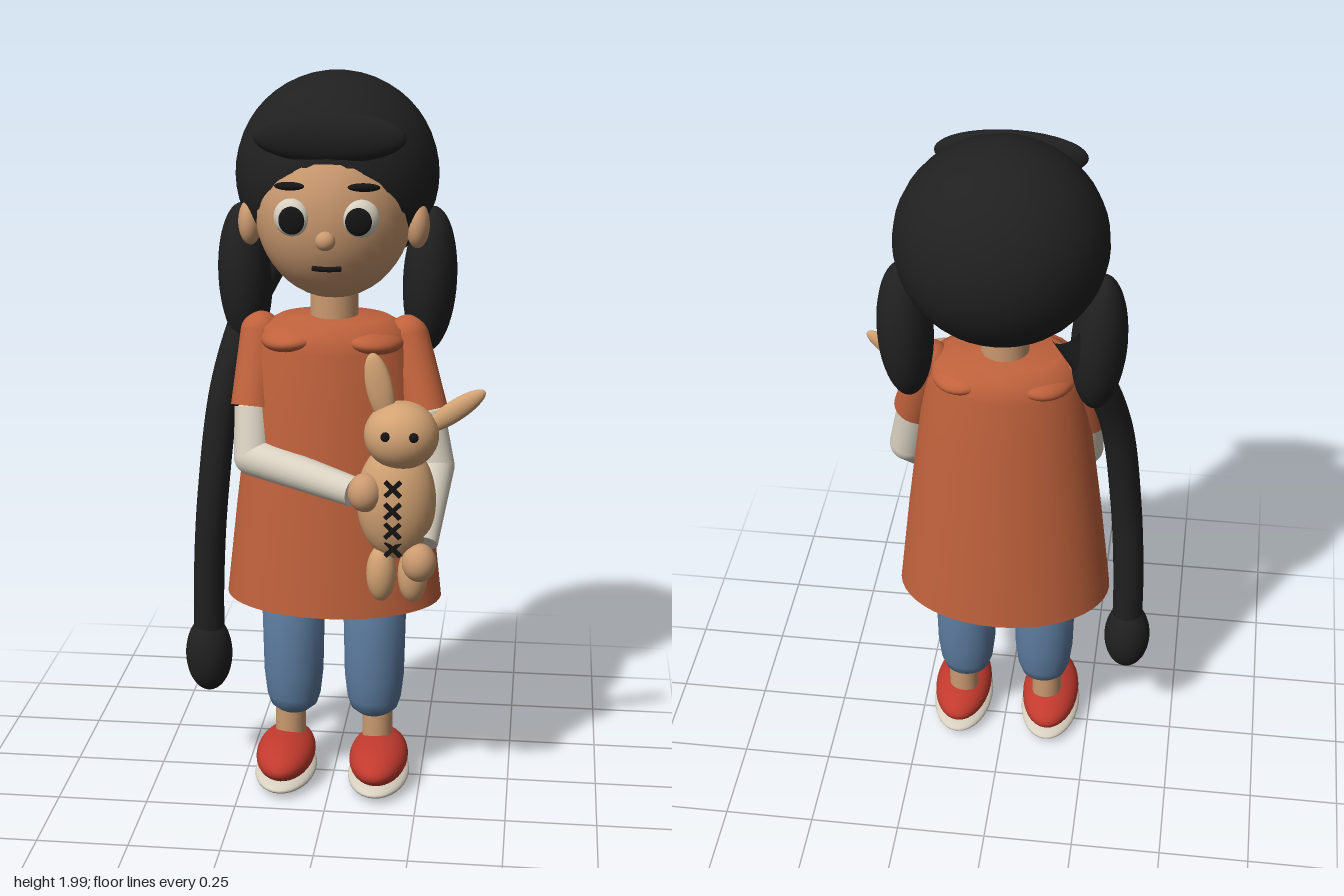
import * as THREE from 'three';

const V = (x, y, z) => new THREE.Vector3(x, y, z);

function paint(name, color) {
  const m = new THREE.MeshStandardMaterial({ color });
  m.name = name;
  return m;
}

export function createModel() {
  const mat = {
    skin: paint('skin', 0xcb9a70),
    hair: paint('hair black', 0x202020),
    dress: paint('dress orange', 0xc0623c),
    cream: paint('cream', 0xd8d0c0),
    denim: paint('denim blue', 0x5b7a9d),
    shoe: paint('shoe red', 0xc23a2e),
    plush: paint('plush tan', 0xd2a273),
    ink: paint('ink black', 0x141414),
  };
  const model = new THREE.Group();
  model.name = 'girlWithToy';

  function add(name, geo, material, parent = model) {
    const mesh = new THREE.Mesh(geo, material);
    mesh.name = name;
    parent.add(mesh);
    return mesh;
  }
  // Ellipsoid with centre, radii and optional rotation
  function blob(name, material, c, r, rot = [0, 0, 0], parent = model) {
    const mesh = add(name, new THREE.SphereGeometry(1, 32, 24), material, parent);
    mesh.position.set(...c);
    mesh.scale.set(...r);
    mesh.rotation.set(...rot);
    return mesh;
  }
  // Tapered limb between two points
  function limb(name, material, a, b, ra, rb, parent = model) {
    const mesh = add(name, new THREE.CylinderGeometry(rb, ra, a.distanceTo(b), 24), material, parent);
    mesh.position.copy(a).add(b).multiplyScalar(0.5);
    mesh.quaternion.setFromUnitVectors(V(0, 1, 0), b.clone().sub(a).normalize());
    return mesh;
  }
  const lathe = (pts) => new THREE.LatheGeometry(pts.map((p) => new THREE.Vector2(...p)), 48);

  // Head and hair
  blob('head', mat.skin, [0, 1.65, 0], [0.21, 0.24, 0.2]);
  blob('hairCap', mat.hair, [0, 1.73, -0.083], [0.273, 0.27, 0.252]);
  blob('fringe', mat.hair, [0.003, 1.855, 0.137], [0.198, 0.066, 0.036]);
  blob('nose', mat.skin, [0, 1.6, 0.205], [0.026, 0.025, 0.023]);
  const smile = new THREE.QuadraticBezierCurve3(V(-0.037, 1.521, 0.168), V(0, 1.519, 0.181), V(0.037, 1.521, 0.168));
  add('mouth', new THREE.TubeGeometry(smile, 12, 0.007, 8), mat.ink);

  // Paired features of the head
  for (const s of [-1, 1]) {
    blob('ear', mat.skin, [s * 0.223, 1.61, 0.01], [0.032, 0.062, 0.042]);
    blob('eyeball', mat.cream, [s * 0.09, 1.655, 0.178], [0.048, 0.049, 0.03], [0, s * 0.25, 0]);
    blob('pupil', mat.ink, [s * 0.086, 1.653, 0.212], [0.034, 0.036, 0.01], [0, s * 0.1, 0]);
    blob('eyebrow', mat.ink, [s * 0.096, 1.735, 0.176], [0.043, 0.011, 0.013], [0, s * 0.35, -s * 0.05]);
    blob('bunch', mat.hair, [s * 0.252, 1.445, -0.078], [0.073, 0.2, 0.09], [0, 0, -s * 0.04]);
  }

  // Long braid with tuft
  const braid = new THREE.CatmullRomCurve3([
    V(-0.17, 1.5, -0.12), V(-0.24, 1.36, -0.09), V(-0.3, 1.15, -0.02),
    V(-0.335, 0.85, 0.02), V(-0.352, 0.6, 0.015), V(-0.356, 0.4, 0.01),
  ]);
  add('braid', new THREE.TubeGeometry(braid, 40, 0.043, 16), mat.hair);
  blob('braidTuft', mat.hair, [-0.357, 0.363, 0.01], [0.066, 0.112, 0.066]);

  // Neck and dress
  limb('neck', mat.skin, V(0, 1.3, -0.01), V(0, 1.5, -0.01), 0.065, 0.065);
  const dress = add('dress', lathe([[0, 0.56], [0.3, 0.56], [0.3, 0.56], [0.27, 0.83], [0.236, 1.1],
    [0.212, 1.28], [0.195, 1.33], [0.15, 1.355], [0, 1.365]]), mat.dress);
  dress.scale.z = 0.71;
  dress.position.z = -0.01;
  for (const s of [-1, 1]) {
    blob('collar', mat.dress, [s * 0.1, 1.305, -0.005], [0.1, 0.042, 0.145], [0, 0, -s * 0.12]);
  }

  // Legs and shoes
  for (const s of [-1, 1]) {
    const leg = new THREE.Group();
    leg.name = s < 0 ? 'rightLeg' : 'leftLeg';
    model.add(leg);
    const trouser = add('trouser', lathe([[0, 0.2], [0.045, 0.202], [0.066, 0.22], [0.076, 0.25],
      [0.084, 0.32], [0.09, 0.6], [0, 0.6]]), mat.denim, leg);
    trouser.position.set(s * 0.115, 0, -0.003);
    limb('ankle', mat.skin, V(s * 0.125, 0.08, -0.003), V(s * 0.125, 0.23, -0.003), 0.043, 0.043, leg);
    blob('shoe', mat.shoe, [s * 0.133, 0.083, 0.042], [0.083, 0.058, 0.158], [0, 0, 0], leg);
    blob('sole', mat.cream, [s * 0.133, 0.033, 0.042], [0.087, 0.027, 0.163], [0, 0, 0], leg);
  }

  // Arms: shoulder, sleeve end, elbow, wrist, hand
  const arms = [
    ['rightArm', V(-0.2, 1.305, -0.01), V(-0.214, 1.11, 0.05), V(-0.21, 0.98, 0.09), V(0.08, 0.945, 0.255), V(0.112, 0.95, 0.272)],
    ['leftArm', V(0.2, 1.305, -0.01), V(0.252, 1.11, 0.045), V(0.282, 0.965, 0.07), V(0.262, 0.8, 0.23), V(0.255, 0.757, 0.262)],
  ];
  for (const [name, shoulder, cuff, elbow, wrist, palm] of arms) {
    const arm = new THREE.Group();
    arm.name = name;
    model.add(arm);
    blob('shoulder', mat.dress, shoulder.toArray(), [0.056, 0.056, 0.056], [0, 0, 0], arm);
    limb('sleeve', mat.dress, shoulder, cuff, 0.056, 0.062, arm);
    limb('upperArm', mat.cream, cuff, elbow, 0.052, 0.053, arm);
    blob('elbow', mat.cream, elbow.toArray(), [0.053, 0.053, 0.053], [0, 0, 0], arm);
    limb('forearm', mat.cream, elbow, wrist, 0.053, 0.04, arm);
    blob('hand', mat.skin, palm.toArray(), [0.046, 0.052, 0.046], [0, 0, 0], arm);
  }

  // Plush rabbit
  const toy = new THREE.Group();
  toy.name = 'plushRabbit';
  model.add(toy);
  const none = [0, 0, 0];
  const body = { x: 0.19, y: 0.915, z: 0.222, ry: 0.16, rz: 0.085 };
  blob('toyBody', mat.plush, [body.x, body.y, body.z], [0.105, body.ry, body.rz], none, toy);
  blob('toyHead', mat.plush, [0.203, 1.1, 0.238], [0.098, 0.09, 0.09], none, toy);
  blob('toyEarUp', mat.plush, [0.145, 1.225, 0.238], [0.035, 0.095, 0.02], [0, 0, 0.22], toy);
  blob('toyEarOut', mat.plush, [0.34, 1.165, 0.222], [0.028, 0.095, 0.02], [0, 0, -0.95], toy);
  for (const s of [-1, 1]) {
    blob('toyLeg', mat.plush, [0.195 + s * 0.042, 0.715, 0.24], [0.04, 0.078, 0.04], none, toy);
    blob('toyEye', mat.ink, [0.204 + s * 0.036, 1.117, 0.317], [0.013, 0.013, 0.011], none, toy);
  }
  // Cross stitches following the belly
  for (const y of [0.972, 0.913, 0.857, 0.8]) {
    const z = body.z + body.rz * Math.sqrt(1 - ((y - body.y) / body.ry) ** 2);
    for (const s of [-1, 1]) {
      const stitch = add('stitch', new THREE.BoxGeometry(0.056, 0.011, 0.009), mat.ink, toy);
      stitch.position.set(body.x - 0.003, y, z + 0.002);
      stitch.rotation.z = s * Math.PI / 4;
    }
  }

  return model;
}
